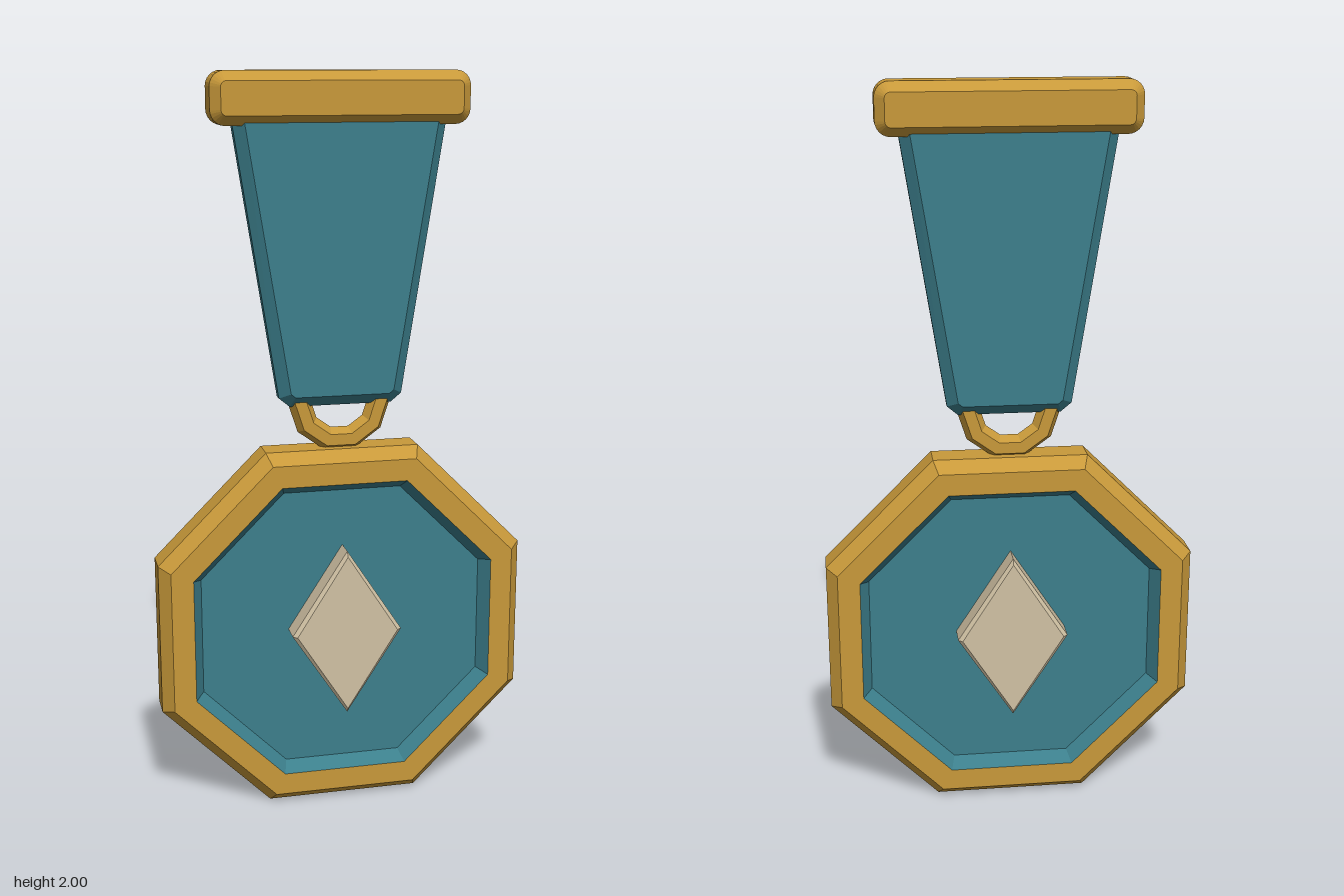
import * as THREE from 'three';

const makeMaterial = (name, color) => {
  const m = new THREE.MeshStandardMaterial({ color, flatShading: true });
  m.name = name;
  return m;
};

// Outline extruded around z = 0; the bevel grows outward from the outline
function bevelled(shape, halfDepth, bevel, bevelDepth = bevel, curveSegments = 3) {
  const core = halfDepth - bevelDepth;
  const geo = new THREE.ExtrudeGeometry(shape, {
    depth: core * 2, bevelEnabled: true, bevelSegments: 1,
    bevelSize: bevel, bevelThickness: bevelDepth, curveSegments,
  });
  return geo.translate(0, 0, -core);
}

const polygon = (pts) => new THREE.Shape(pts.map(([x, y]) => new THREE.Vector2(x, y)));

// Eight-sided turned part facing z; the profile is [apothem, z]
function octagonal(profile) {
  const k = 1 / Math.cos(Math.PI / 8);
  const pts = profile.map(([a, z]) => new THREE.Vector2(a * k, z));
  return new THREE.LatheGeometry(pts, 8, Math.PI / 8).rotateX(Math.PI / 2);
}

function roundedRect(w, h, r) {
  const s = new THREE.Shape();
  s.absarc(w - r, h - r, r, 0, Math.PI / 2);
  s.absarc(r - w, h - r, r, Math.PI / 2, Math.PI);
  s.absarc(r - w, r - h, r, Math.PI, Math.PI * 1.5);
  s.absarc(w - r, r - h, r, Math.PI * 1.5, Math.PI * 2);
  s.closePath();
  return s;
}

export function createModel() {
  const group = new THREE.Group();
  group.name = 'medal';
  const gold = makeMaterial('gold', 0xc8993a);
  const teal = makeMaterial('teal', 0x3c7f8c);
  const cream = makeMaterial('cream', 0xd0c1a3);

  const add = (name, geometry, material, y = 0) => {
    const mesh = new THREE.Mesh(geometry, material);
    mesh.name = name;
    mesh.position.y = y;
    group.add(mesh);
  };

  // Medallion: chamfered rim, a recessed dish on each side, a diamond through the middle
  const centre = 0.508;
  add('rim', octagonal([
    [0.415, -0.077], [0.475, -0.077], [0.505, -0.04],
    [0.505, 0.04], [0.475, 0.077], [0.415, 0.077],
  ]), gold, centre);
  add('frontDish', octagonal([[0.415, 0.077], [0.39, 0.037], [0, 0.037]]), teal, centre);
  add('backDish', octagonal([[0, -0.037], [0.39, -0.037], [0.415, -0.077]]), teal, centre);
  add('diamond', bevelled(polygon([[0.14, 0], [0, 0.22], [-0.14, 0], [0, -0.22]]), 0.108, 0.01), cream, centre);

  // Hanging ring
  add('ring', new THREE.TorusGeometry(0.11, 0.032, 6, 10), gold, 1.14);

  // Tapered ribbon with clipped lower corners
  add('ribbon', bevelled(polygon([
    [0.258, 1.9], [-0.258, 1.9], [-0.14, 1.17], [-0.128, 1.16], [0.128, 1.16], [0.14, 1.17],
  ]), 0.045, 0.03), teal);

  // Top bar
  add('topBar', bevelled(roundedRect(0.315, 0.043, 0.015), 0.063, 0.025), gold, 1.932);

  return group;
}
